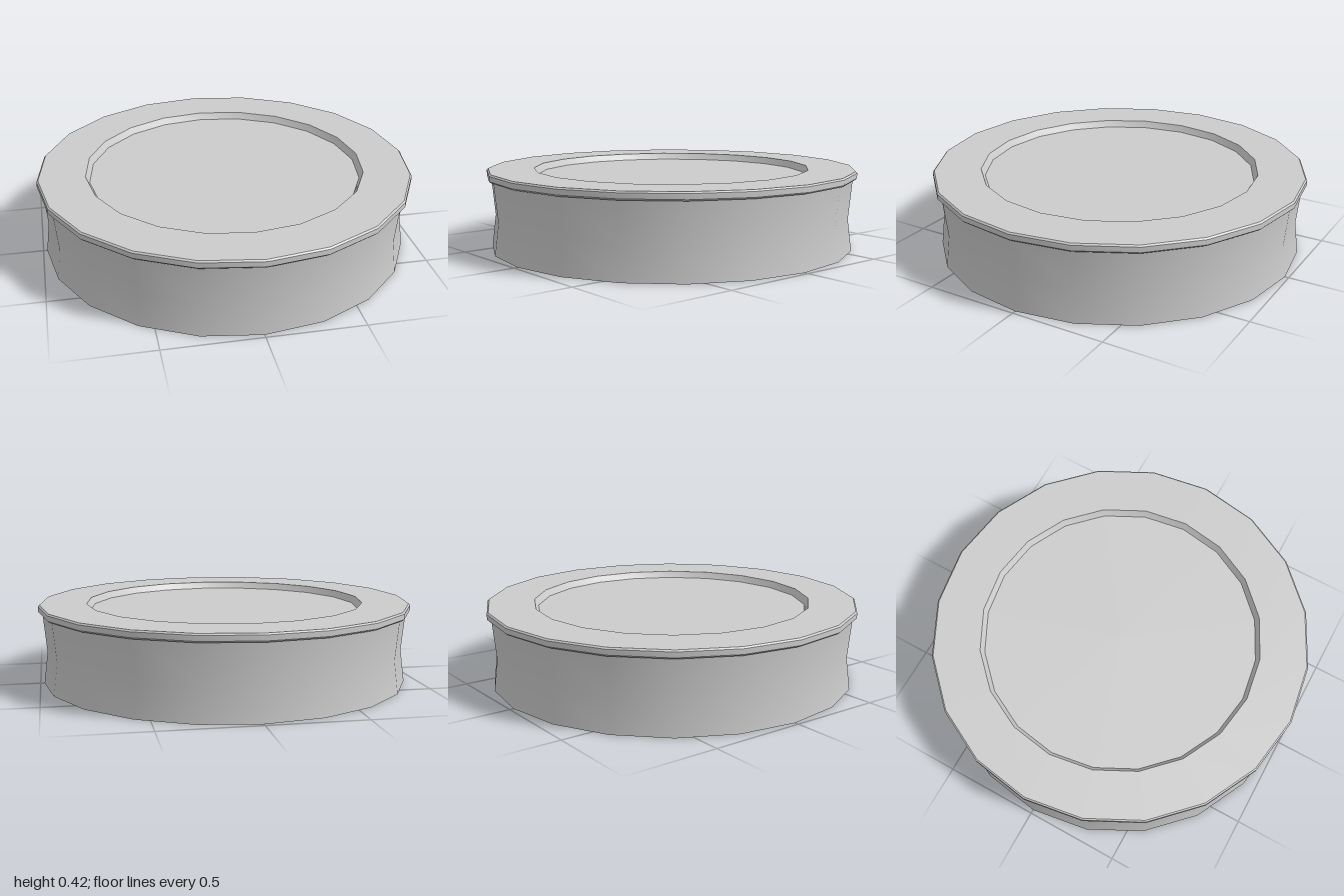
import * as THREE from 'three';
import { toCreasedNormals } from 'three/addons/utils/BufferGeometryUtils.js';

const SIDES = 20;

// Turned part from [radius, height] pairs, smooth around and sharp at profile corners
function turned(name, profile, material) {
  const points = profile.map(([r, y]) => new THREE.Vector2(r, y));
  const geometry = toCreasedNormals(new THREE.LatheGeometry(points, SIDES), Math.PI / 6);
  const mesh = new THREE.Mesh(geometry, material);
  mesh.name = name;
  return mesh;
}

export function createModel() {
  const group = new THREE.Group();
  group.name = 'roundTray';
  const material = new THREE.MeshStandardMaterial({ color: 0xcccccc });

  // Waisted drum with a closed base
  group.add(turned('body', [[0, 0], [0.98, 0], [0.958, 0.17], [0.978, 0.38]], material));

  // Bevelled lip and flat top ring, sloping down into the recess
  group.add(turned('rim', [
    [0.978, 0.38], [0.992, 0.38], [1, 0.388], [1, 0.415], [0.992, 0.423],
    [0.745, 0.423], [0.725, 0.388],
  ], material));

  // Flat floor of the recess
  group.add(turned('recessFloor', [[0.725, 0.388], [0, 0.388]], material));

  return group;
}
